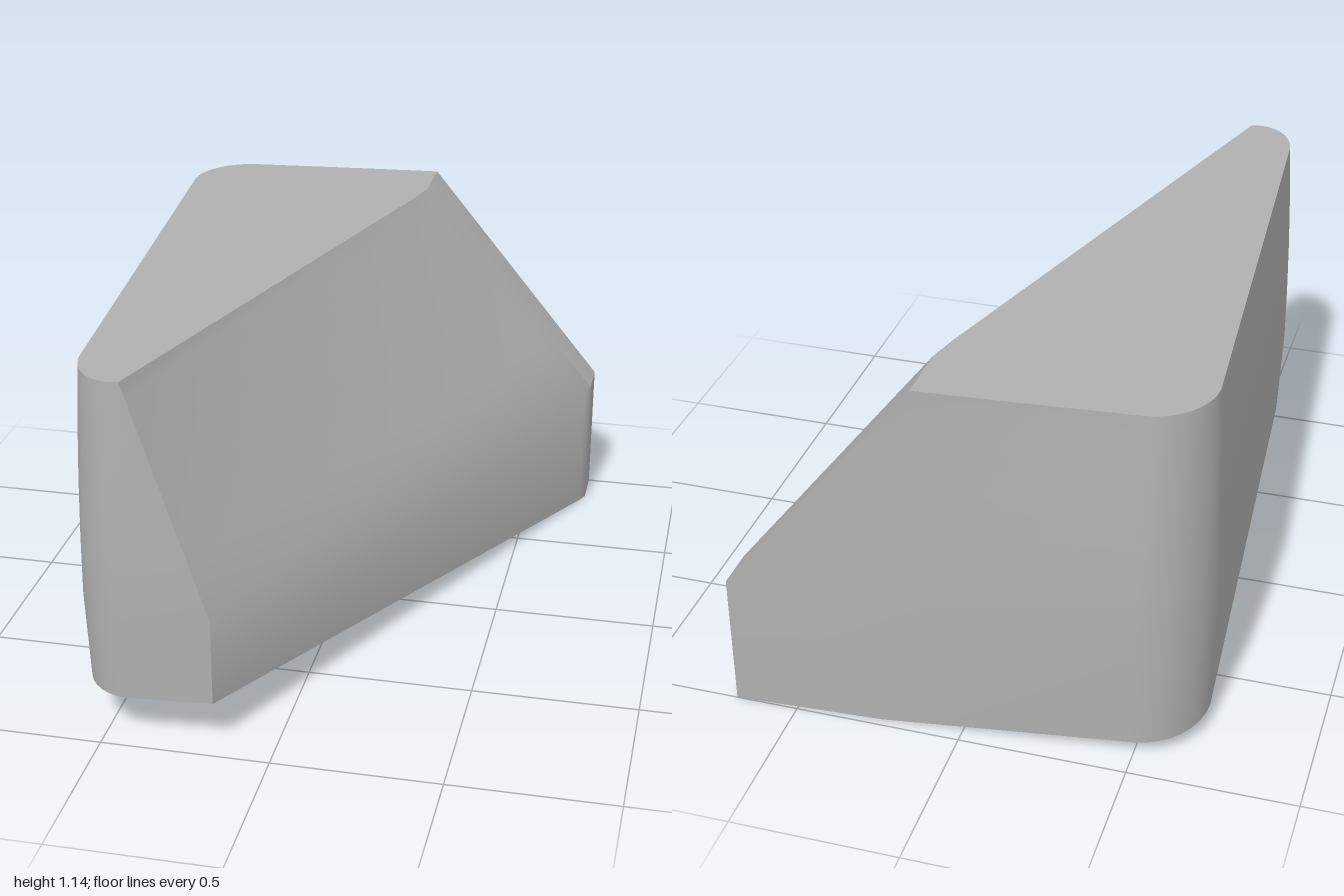
import * as THREE from 'three';
import { toCreasedNormals } from 'three/addons/utils/BufferGeometryUtils.js';

const ARC = 8; // segments in each rounded corner

// Quarter-ellipse corner from a to b, bulging toward the control point c
function corner(a, c, b) {
  const pts = [];
  for (let i = 0; i <= ARC; i++) {
    const t = (i / ARC) * Math.PI / 2, s = Math.sin(t), k = 1 - Math.cos(t);
    pts.push([0, 1].map((n) => a[n] + (c[n] - a[n]) * s + (b[n] - c[n]) * k));
  }
  return pts;
}

// Plan outline [x, z], counterclockwise from above: back left, front left, then the sharp right side
const outline = (backLeft, frontLeft, rest) => [...corner(...backLeft), ...corner(...frontLeft), ...rest];

const lowPlan = outline(
  [[-0.5, -0.925], [-0.68, -0.915], [-0.68, -0.72]],
  [[-0.57, 0.81], [-0.565, 0.99], [-0.42, 0.99]],
  [[-0.17, 0.97], [0.675, -0.83], [0.69, -0.87], [0.69, -1], [0.24, -0.975]]);
const midPlan = outline(
  [[-0.5, -0.935], [-0.69, -0.925], [-0.69, -0.72]],
  [[-0.58, 0.82], [-0.575, 1], [-0.42, 1]],
  [[-0.17, 0.975], [0.675, -0.83], [0.69, -0.87], [0.69, -1], [0.24, -0.975]]);
const topPlan = outline(
  [[-0.5, -0.91], [-0.668, -0.9], [-0.668, -0.72]],
  [[-0.56, 0.8], [-0.56, 0.985], [-0.43, 0.985]],
  [[-0.4, 0.98], [0.095, -0.67], [0.12, -0.77], [0.12, -0.96], [-0.1, -0.944]]);

// Sloping underside, lowest along the right edge
function floorY(x, z) {
  const t = THREE.MathUtils.clamp((z + 0.86) / 1.83, 0, 1);
  const s = THREE.MathUtils.clamp((0.24 - x) / 0.9, 0, 1);
  return THREE.MathUtils.lerp(0.155 * t, 0.06 + 0.095 * t, s);
}

function bodyGeometry() {
  const n = lowPlan.length;
  const rounded = 2 * (ARC + 1);
  const rings = [lowPlan.map(([x, z]) => [x, floorY(x, z), z])];
  // Upper rings: the left side curves inward, the right side is a straight chamfer
  for (const u of [0, 0.25, 0.5, 0.75, 0.93, 1]) {
    rings.push(midPlan.map(([x, z], j) => {
      const k = j < rounded ? u * u : u;
      const [tx, tz] = topPlan[j];
      const top = 1.134 - 0.003 * tz;
      return [x + (tx - x) * k, 0.425 + (top - 0.425) * u, z + (tz - z) * k];
    }));
  }

  const index = [];
  for (let r = 0; r < rings.length - 1; r++) {
    for (let j = 0; j < n; j++) {
      const a = r * n + j, b = r * n + (j + 1) % n;
      index.push(a, b, b + n, a, b + n, a + n);
    }
  }
  // Top and underside
  const cap = (plan) => THREE.ShapeUtils.triangulateShape(plan.map(([x, z]) => new THREE.Vector2(x, -z)), []);
  const last = (rings.length - 1) * n;
  for (const [a, b, c] of cap(topPlan)) index.push(last + a, last + b, last + c);
  for (const [a, b, c] of cap(lowPlan)) index.push(a, c, b);

  const geo = new THREE.BufferGeometry();
  geo.setAttribute('position', new THREE.Float32BufferAttribute(rings.flat(2), 3));
  geo.setIndex(index);
  return toCreasedNormals(geo, 0.65);
}

export function createModel() {
  const grey = new THREE.MeshStandardMaterial({ color: 0xb0b0b0 });
  grey.name = 'plain grey';
  const body = new THREE.Mesh(bodyGeometry(), grey);
  body.name = 'wedgeBody';
  const model = new THREE.Group();
  model.name = 'chamferedWedge';
  model.add(body);
  return model;
}
